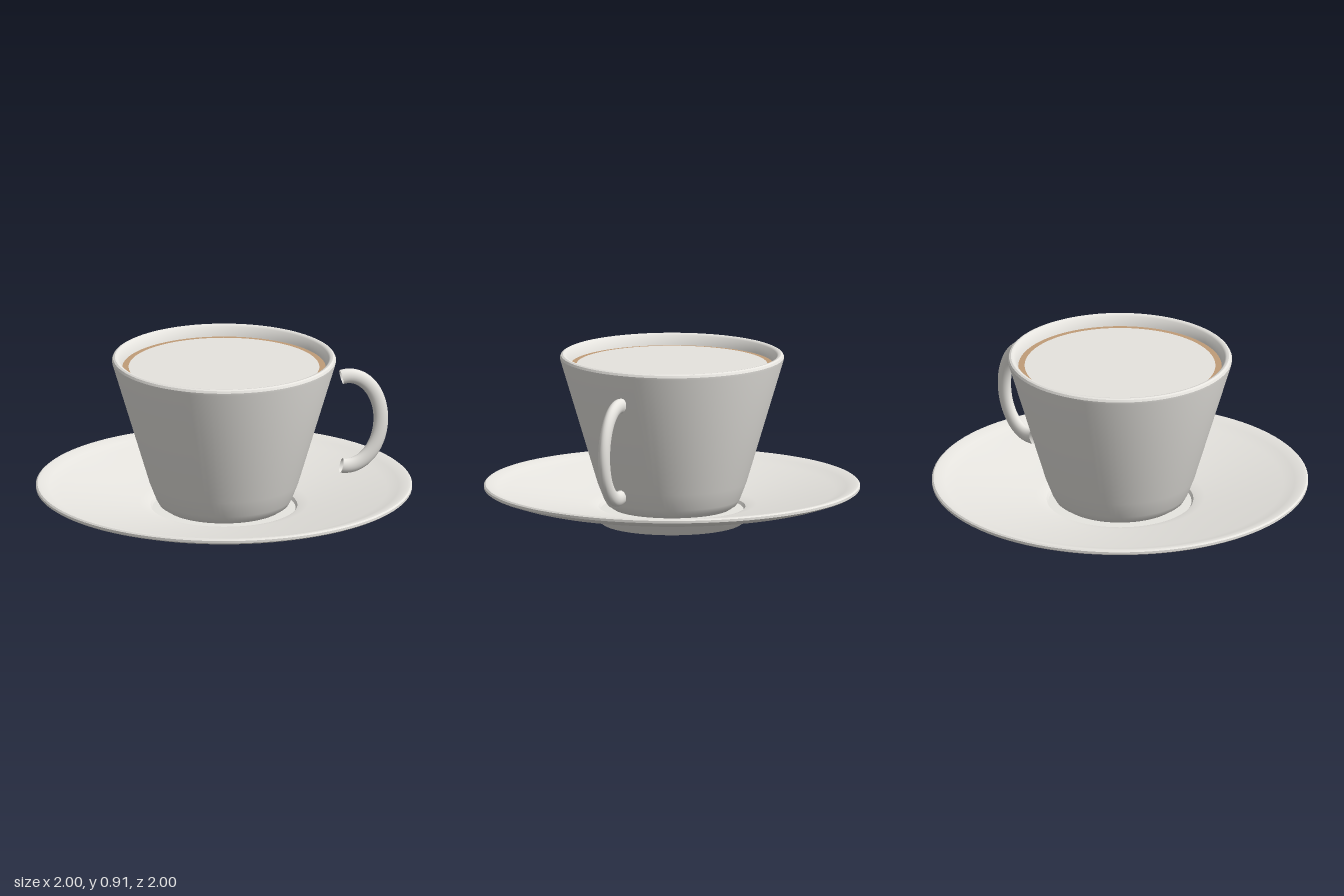
import * as THREE from 'three';
import { toCreasedNormals } from 'three/addons/utils/BufferGeometryUtils.js';

const porcelain = new THREE.MeshStandardMaterial({ color: 0xe8e6e1, side: THREE.DoubleSide });
porcelain.name = 'porcelain';
const foamWhite = new THREE.MeshStandardMaterial({ color: 0xe6e3de });
foamWhite.name = 'milk foam';
const coffeeBrown = new THREE.MeshStandardMaterial({ color: 0xc09c78 });
coffeeBrown.name = 'coffee';

function add(group, name, geometry, material) {
  const mesh = new THREE.Mesh(geometry, material);
  mesh.name = name;
  group.add(mesh);
  return mesh;
}

// Profiles run from the bottom centre outwards, over the rim and back to the axis
function turned(profile, crease = 0.6) {
  const points = profile.map(([r, y]) => new THREE.Vector2(r, y));
  return toCreasedNormals(new THREE.LatheGeometry(points, 96), crease);
}

// Elliptical arc in the xy plane, used as the handle's centre line
class HandleCurve extends THREE.Curve {
  getPoint(t, target = new THREE.Vector3()) {
    const a = THREE.MathUtils.degToRad(100 - 200 * t);
    return target.set(0.68 + 0.185 * Math.cos(a), 0.495 + 0.25 * Math.sin(a), 0);
  }
}

export function createModel() {
  const model = new THREE.Group();
  model.name = 'cupAndSaucer';

  // Saucer with a recessed foot ring and a shallow well
  add(model, 'saucer', turned([
    [0, 0.03], [0.28, 0.03], [0.295, 0.01], [0.31, 0.002], [0.33, 0], [0.375, 0], [0.385, 0.008],
    [0.41, 0.05], [0.425, 0.064], [0.45, 0.07], [0.88, 0.145], [0.92, 0.156], [0.99, 0.18], [1, 0.187],
    [1, 0.2], [0.992, 0.207], [0.975, 0.207], [0.93, 0.192], [0.87, 0.174], [0.45, 0.1],
    [0.41, 0.092], [0.39, 0.085], [0.38, 0.07], [0, 0.07],
  ]), porcelain);

  // Tapered cup with a rounded base and lip
  add(model, 'cup', turned([
    [0, 0.072], [0.27, 0.072], [0.315, 0.08], [0.345, 0.1], [0.362, 0.13], [0.397, 0.22], [0.594, 0.88],
    [0.596, 0.893], [0.59, 0.905], [0.58, 0.91], [0.568, 0.908], [0.558, 0.9], [0.543, 0.855],
    [0.36, 0.22], [0.32, 0.15], [0.26, 0.12], [0, 0.12],
  ]), porcelain);

  // Handle, an open tube slightly narrower in z
  const handle = add(model, 'handle', new THREE.TubeGeometry(new HandleCurve(), 48, 0.04, 20), porcelain);
  handle.scale.z = 0.75;

  // Coffee surface with a disc of foam on it
  const coffee = add(model, 'coffee', new THREE.CircleGeometry(0.541, 96), coffeeBrown);
  coffee.rotation.x = -Math.PI / 2;
  coffee.position.y = 0.85;
  const foam = add(model, 'foam', new THREE.CircleGeometry(0.507, 96), foamWhite);
  foam.rotation.x = -Math.PI / 2;
  foam.position.y = 0.854;

  return model;
}
